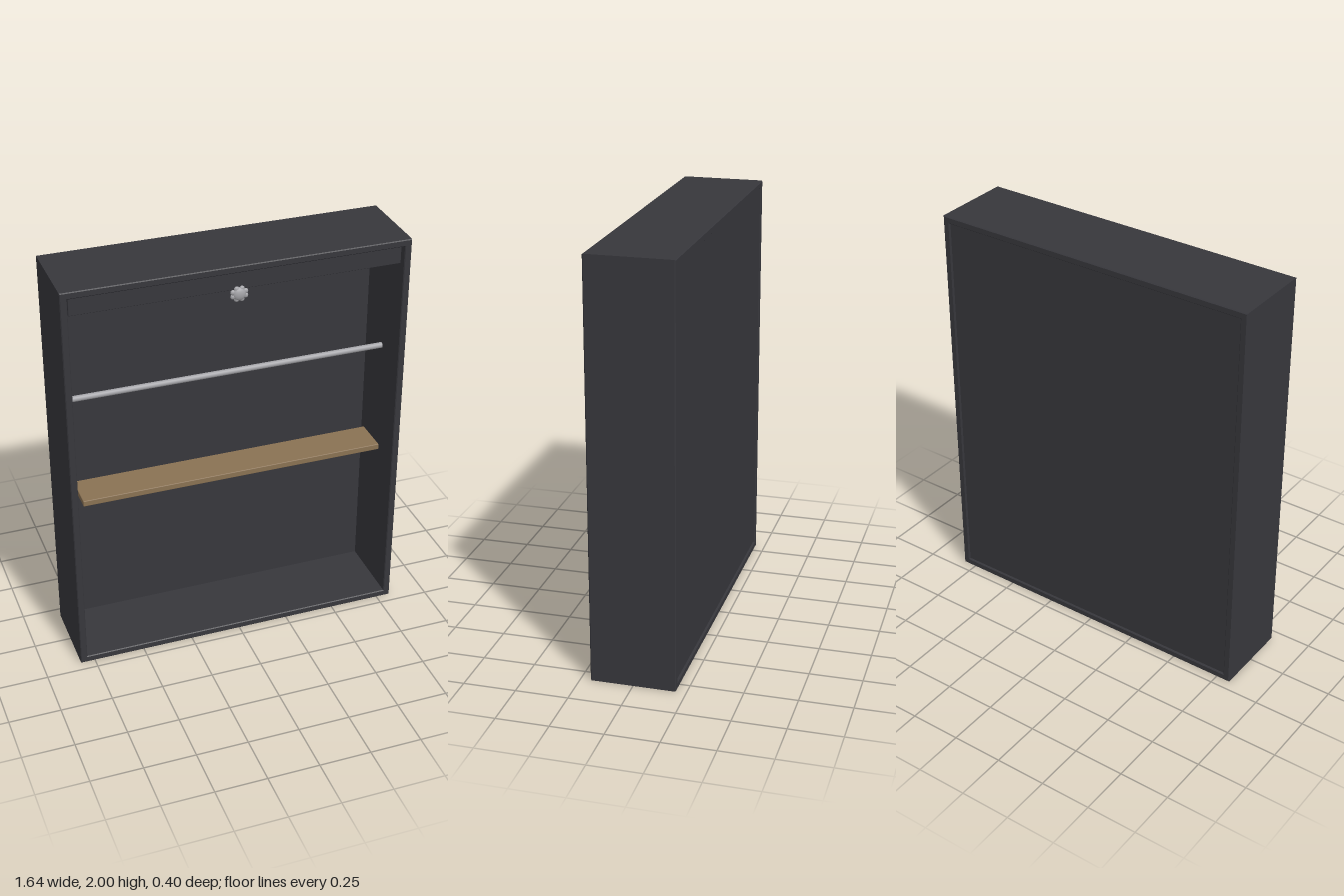
import * as THREE from 'three';
import { RoundedBoxGeometry } from 'three/addons/geometries/RoundedBoxGeometry.js';

const mat = (name, color) => {
  const m = new THREE.MeshStandardMaterial({ color });
  m.name = name;
  return m;
};

export function createModel() {
  const charcoal = mat('charcoal', 0x37373c);
  const wood = mat('wood', 0x8a7253);
  const steel = mat('steel', 0xa4a4a8);
  const group = new THREE.Group();
  group.name = 'cabinet';

  const add = (name, geometry, material, x = 0, y = 0, z = 0, parent = group) => {
    const mesh = new THREE.Mesh(geometry, material);
    mesh.name = name;
    mesh.position.set(x, y, z);
    parent.add(mesh);
    return mesh;
  };
  const rect = (target, w, y0, y1) => {
    target.moveTo(-w, y0);
    target.lineTo(w, y0);
    target.lineTo(w, y1);
    target.lineTo(-w, y1);
    target.closePath();
    return target;
  };

  // Outer frame: four walls with slightly eased edges
  const bevel = 0.004;
  const outline = rect(new THREE.Shape(), 0.82 - bevel, bevel, 2 - bevel);
  outline.holes.push(rect(new THREE.Path(), 0.787 + bevel, 0.033 - bevel, 1.967 + bevel));
  const frame = new THREE.ExtrudeGeometry(outline, {
    depth: 0.404 - 2 * bevel, bevelSize: bevel, bevelThickness: bevel, bevelSegments: 1,
  });
  add('frame', frame, charcoal, 0, 0, -0.202 + bevel);

  // Recessed back panel and the rail under the top
  add('backPanel', new THREE.BoxGeometry(1.574, 1.934, 0.03), charcoal, 0, 1, -0.177);
  add('topRail', new RoundedBoxGeometry(1.56, 0.094, 0.03, 1, 0.003), charcoal, 0, 1.923, 0.165);

  // Hanging rod and shelf
  const rod = add('hangingRod', new THREE.CylinderGeometry(0.014, 0.014, 1.52, 16), steel, 0, 1.403, 0.07);
  rod.rotation.z = Math.PI / 2;
  add('shelf', new RoundedBoxGeometry(1.495, 0.03, 0.18, 2, 0.004), wood, 0, 0.87, 0.04);

  // Rosette knob: scalloped ring around a flattened dome
  const knob = new THREE.Group();
  knob.name = 'knob';
  knob.position.set(-0.003, 1.855, 0.182);
  group.add(knob);
  const lobe = new THREE.SphereGeometry(0.013, 10, 8);
  for (let i = 0; i < 8; i++) {
    const a = (i + 0.5) * Math.PI / 4;
    add('knobLobe', lobe, steel, 0.032 * Math.cos(a), 0.027 * Math.sin(a), 0, knob).scale.z = 0.7;
  }
  add('knobDome', new THREE.SphereGeometry(0.032, 20, 12), steel, 0, 0, 0, knob).scale.z = 0.55;

  return group;
}
